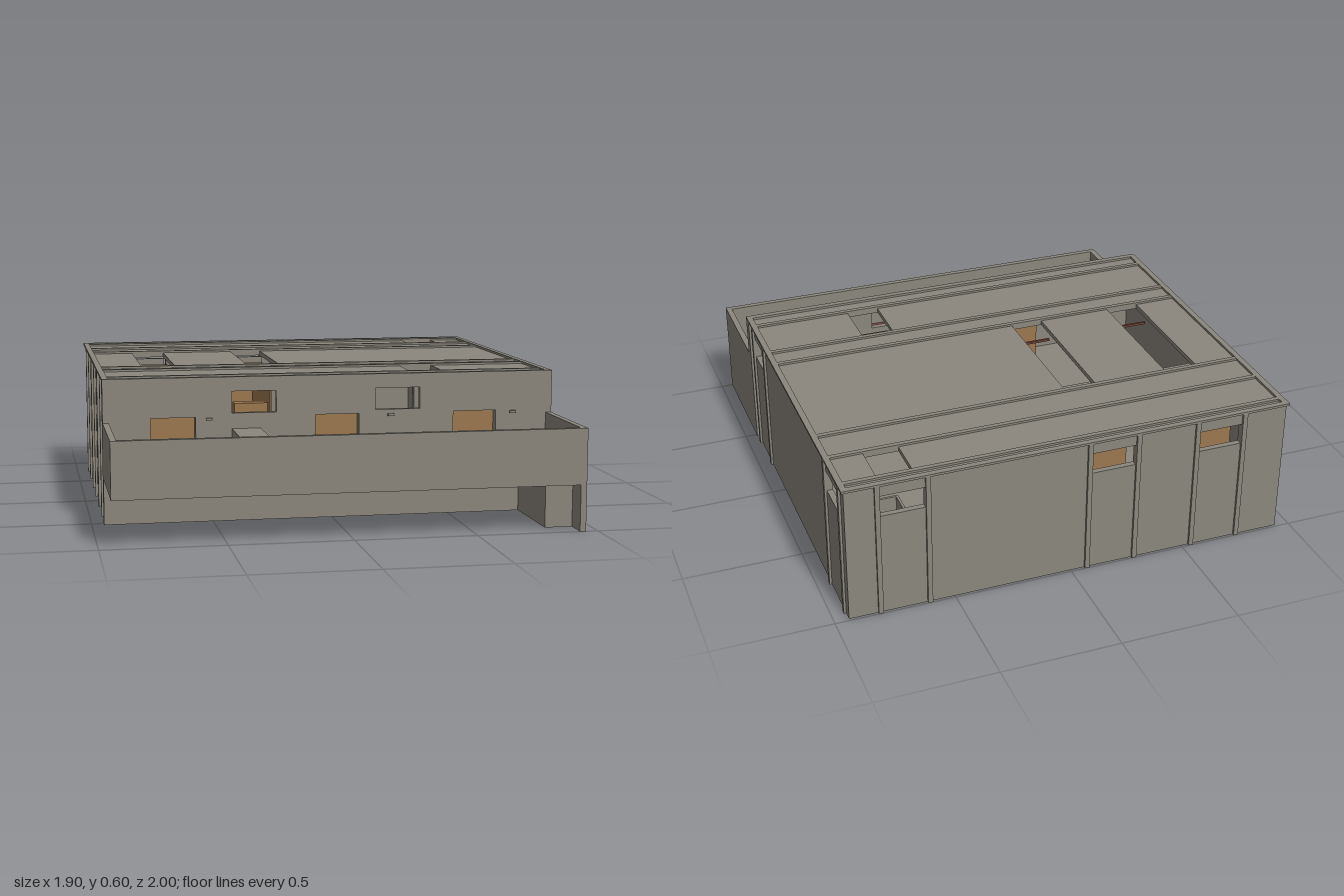
import * as THREE from 'three';

const mat = (name, color) => Object.assign(new THREE.MeshStandardMaterial({ color }), { name });

export function createModel() {
  const model = new THREE.Group();
  model.name = 'flatRoofHouse';
  const concrete = mat('concrete', 0x8b877d);
  const wood = mat('wood', 0x9c7850);
  const red = mat('darkRed', 0x74443a);

  const add = (name, geometry, material = concrete) => {
    const mesh = new THREE.Mesh(geometry, material);
    mesh.name = name;
    model.add(mesh);
    return mesh;
  };
  // Box given by its limits on each axis
  const box = (name, x0, x1, y0, y1, z0, z1, material) => {
    const g = new THREE.BoxGeometry(x1 - x0, y1 - y0, z1 - z0);
    g.translate((x0 + x1) / 2, (y0 + y1) / 2, (z0 + z1) / 2);
    return add(name, g, material);
  };
  // Flat panel with rectangular holes; rectangles are [u0, u1, v0, v1]
  const trace = (path, [u0, u1, v0, v1]) => {
    path.moveTo(u0, v0);
    path.lineTo(u1, v0);
    path.lineTo(u1, v1);
    path.lineTo(u0, v1);
    path.closePath();
    return path;
  };
  const panel = (rect, holes, depth) => {
    const shape = trace(new THREE.Shape(), rect);
    holes.forEach((h) => shape.holes.push(trace(new THREE.Path(), h)));
    return new THREE.ExtrudeGeometry(shape, { depth, bevelEnabled: false });
  };

  const T = 0.025; // wall thickness
  const R = 0.01; // rib projection
  const W0 = 0.45, W1 = 0.54; // window sill and head
  const FLOOR = 0.2;

  // Front wall with windows and doorways
  const doors = [[-0.755, -0.57], [-0.07, 0.115], [0.52, 0.705]];
  const frontWindows = [[-0.42, -0.235], [0.185, 0.375]];
  add('frontWall', panel([-0.95, 0.95, 0, 0.6], [
    ...frontWindows.map(([a, b]) => [a, b, W0, W1]),
    ...doors.map(([a, b]) => [a, b, FLOOR, 0.435]),
  ], T).translate(0, 0, 0.505));
  for (const [a, b] of doors) {
    box('door', a, b, FLOOR, 0.435, 0.475, 0.49, wood);
    box('doorJamb', a - 0.012, a, FLOOR, 0.435, 0.475, 0.505);
    box('doorJamb', b, b + 0.012, FLOOR, 0.435, 0.475, 0.505);
  }
  for (const x of [-0.515, 0.25, 0.778]) box('wallLamp', x - 0.013, x + 0.013, 0.422, 0.432, 0.53, 0.542);

  // Back wall, with ribs beside each window
  const backWindows = [[0.615, 0.80], [-0.27, -0.08], [-0.74, -0.55]];
  add('backWall', panel([-0.94, 0.94, 0, 0.59], backWindows.map(([a, b]) => [a, b, W0, W1]), T)
    .translate(0, 0, -1 + R));
  for (const [a, b] of backWindows) {
    box('backRib', a - 0.02, a, 0, 0.59, -1, -1 + R);
    box('backRib', b, b + 0.02, 0, 0.59, -1, -1 + R);
  }

  // Side walls, with ribs beside each window
  const sides = [
    [1, [[0.24, 0.42], [-0.93, -0.745]]],
    [-1, [[0.145, 0.33], [-0.31, -0.125], [-0.755, -0.57]]],
  ];
  for (const [s, windows] of sides) {
    const g = panel([-0.505, 1 - R, 0, 0.59], windows.map(([a, b]) => [-b, -a, W0, W1]), T);
    add('sideWall', g.rotateY(Math.PI / 2).translate(s > 0 ? 0.94 - T : -0.94, 0, 0));
    const x0 = s > 0 ? 0.94 : -0.95;
    for (const [a, b] of windows) {
      box('sideRib', x0, x0 + R, 0, 0.59, a - 0.02, a);
      box('sideRib', x0, x0 + R, 0, 0.59, b, b + 0.02);
    }
    box('cornerRib', x0, x0 + R, 0, 0.59, 0.485, 0.505);
  }

  // Roof with skylights, edge rim and cross ribs
  const skylights = [
    [-0.745, -0.6, -0.56, 0.05], [-0.28, -0.14, -0.56, 0.05],
    [0.37, 0.51, 0.18, 0.42], [0.645, 0.79, -0.93, -0.75],
  ];
  add('roof', panel([-0.925, 0.925, -0.505, 0.975],
    skylights.map(([a, b, c, d]) => [a, b, -d, -c]), 0.02).rotateX(-Math.PI / 2).translate(0, 0.57, 0));
  add('roofRim', panel([-0.95, 0.95, -0.505, 1], [[-0.925, 0.925, -0.504, 0.975]], R)
    .rotateX(-Math.PI / 2).translate(0, 0.59, 0));
  for (const [a, b] of [[-0.93, -0.75], [-0.56, 0.05], [0.18, 0.42]]) {
    box('roofRib', -0.925, 0.925, 0.59, 0.599, a - 0.02, a);
    box('roofRib', -0.925, 0.925, 0.59, 0.599, b, b + 0.02);
  }
  for (const [a, b] of skylights.slice(0, 2)) {
    box('skylightBar', a, b, 0.54, 0.55, -0.052, -0.042, red);
    box('skylightBeam', a, b, 0.54, 0.57, -0.52, -0.5);
  }
  box('skylightBar', 0.37, 0.51, 0.54, 0.55, 0.265, 0.275, red);

  // Ground slab and upper floor
  box('groundSlab', -0.94, 0.94, 0, 0.02, -0.99, 0.505);
  box('upperFloor', -0.915, 0.915, FLOOR - 0.02, FLOOR, -0.965, 0.505);

  // Indoor furniture seen through the openings
  for (const x of [-0.672, -0.228]) {
    box('longTable', x - 0.028, x + 0.028, 0.29, 0.305, -0.325, 0, wood);
    for (const z of [-0.31, -0.02]) box('tableLeg', x - 0.02, x + 0.02, FLOOR, 0.29, z - 0.008, z + 0.008, wood);
  }
  box('rug', -0.745, -0.6, FLOOR, 0.206, -0.57, -0.45, red);
  box('stool', -0.745, -0.72, FLOOR, 0.3, -0.48, -0.43, wood);
  box('screen', -0.186, -0.18, FLOOR, 0.5, -0.5, 0.05, wood);
  box('cabinet', -0.4, -0.26, FLOOR, 0.48, 0.4, 0.46, wood);
  for (const [a, b] of backWindows.slice(1)) box('backCabinet', a, b, FLOOR, 0.5, -0.9, -0.86, wood);
  box('partition', 0.685, 0.695, FLOOR, 0.44, -0.96, -0.86);
  box('partition', 0.69, 0.79, FLOOR, 0.44, -0.865, -0.855);

  // Terrace floor with stair opening, and parapet walls
  add('terraceFloor', panel([-0.925, 0.925, -0.975, -0.53], [[0.83, 0.924, -0.9, -0.56]], R)
    .rotateX(-Math.PI / 2).translate(0, 0.19, 0));
  box('frontParapet', -0.95, 0.95, 0.19, 0.42, 0.975, 1);
  box('sideParapet', -0.95, -0.925, 0.19, 0.42, 0.53, 0.975);
  box('tallSideParapet', 0.925, 0.95, 0, 0.42, 0.53, 1);

  // Stairs down from the terrace
  box('stairWall', 0.81, 0.83, 0, 0.205, 0.53, 0.9);
  box('stairLanding', 0.83, 0.925, 0, 0.012, 0.53, 0.62);
  const steps = 13, run = 0.28 / steps;
  for (let i = 0; i < steps; i++) {
    box('stairStep', 0.83, 0.925, 0, 0.19 * (i + 1) / steps, 0.62 + i * run, 0.62 + (i + 1) * run);
  }

  // Terrace furniture
  box('terraceCounter', -0.42, -0.3, FLOOR, 0.385, 0.53, 0.9);
  box('terraceMat', 0.09, 0.37, FLOOR, 0.22, 0.86, 0.972, red);
  box('bench', -0.7, -0.635, FLOOR, 0.26, 0.735, 0.79, wood);
  box('bench', -0.7, -0.635, FLOOR, 0.28, 0.79, 0.845, wood);
  box('crate', 0.64, 0.695, FLOOR, 0.31, 0.605, 0.66, wood);
  box('smallCrate', 0.62, 0.668, FLOOR, 0.25, 0.785, 0.83, wood);

  return model;
}
